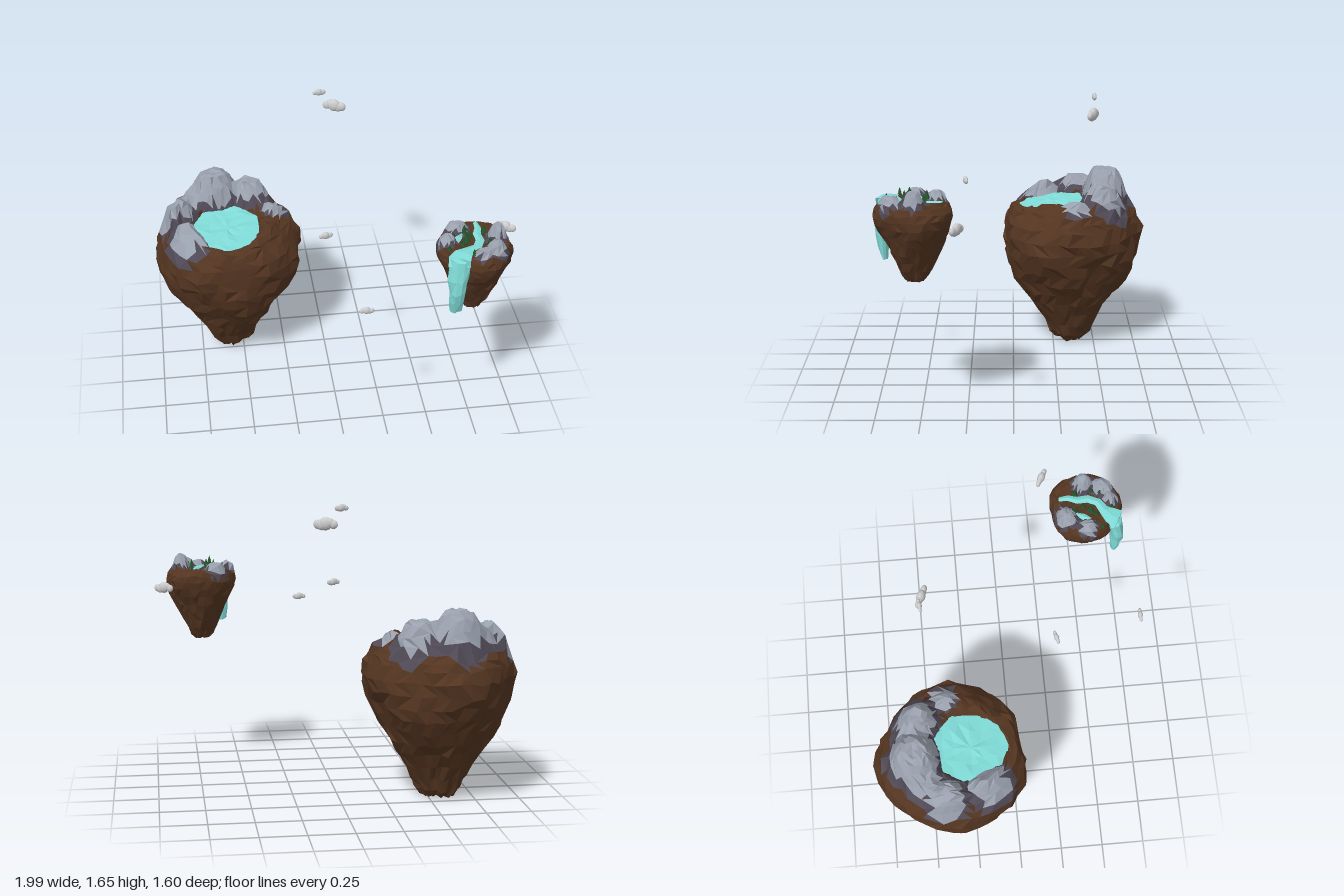
import * as THREE from 'three';

const mat = (color, side = THREE.FrontSide) => new THREE.MeshStandardMaterial({ color, side, flatShading: true });
const MATS = {
  Earth: mat(0x543521), Scree: mat(0x504a56), Rock: mat(0x9aa1ae),
  Water: mat(0x80dcd8, THREE.DoubleSide), Pine: mat(0x24502a), Trunk: mat(0x4a2f1c), Cloud: mat(0xcccccc),
};

// Repeatable noise in -1..1
const hash = (a, b, c = 0) => {
  const s = Math.sin(a * 127.1 + b * 311.7 + c * 74.7) * 43758.5453;
  return (s - Math.floor(s)) * 2 - 1;
};
const smooth = (x, a, b) => THREE.MathUtils.smoothstep(x, a, b);

// Skin rows of points with triangles; pick() sorts each triangle into a material
function skin(name, rows, closed, pick) {
  const buckets = {};
  const add = (p, q, r) => {
    const mid = new THREE.Vector3().add(p).add(q).add(r).divideScalar(3);
    const list = (buckets[pick(mid)] ??= []);
    for (const v of [p, q, r]) list.push(v.x, v.y, v.z);
  };
  for (let i = 0; i + 1 < rows.length; i++) {
    const n = rows[i].length;
    for (let j = 0; j < (closed ? n : n - 1); j++) {
      const k = (j + 1) % n;
      const a = rows[i][j], b = rows[i][k], c = rows[i + 1][k], d = rows[i + 1][j];
      if (hash(i, j, 9) > 0) { add(b, a, d); add(b, d, c); }
      else { add(a, d, c); add(a, c, b); }
    }
  }
  const group = new THREE.Group();
  group.name = name;
  for (const [key, list] of Object.entries(buckets)) {
    const g = new THREE.BufferGeometry();
    g.setAttribute('position', new THREE.Float32BufferAttribute(list, 3));
    g.computeVertexNormals();
    const mesh = new THREE.Mesh(g, MATS[key]);
    mesh.name = name + key;
    group.add(mesh);
  }
  return group;
}

// Floating island: tapering earth body, modelled top and a ring of rock bumps
function island(name, { cx, cz, profile, top, rocks, seg, topRings, jitter, seed }) {
  const [rimR, rimY] = profile[profile.length - 1];
  const size = rimR * 1.2;
  const near = (x, z) => Math.min(...rocks.map(([rx, rz, r]) => Math.hypot(x - rx, z - rz) / r));
  const bump = (x, z) => Math.max(0, ...rocks.map(([rx, rz, r, h]) => {
    const q = Math.hypot(x - rx, z - rz) / r;
    return h * Math.min(1, Math.max(0, 1.25 * (1 - q * q)));
  }));
  const rings = profile.map(([r, y]) => [r, y, false]);
  for (let i = 1; i <= topRings; i++) rings.push([rimR * (1 - i / topRings), rimY, true]);
  const rows = rings.map(([r, y0, isTop], i) => Array.from({ length: seg }, (_, j) => {
    const k = r < 1e-6 ? 0 : jitter;
    const a = ((j + (i % 2) * 0.5 + hash(i, j, seed) * 0.25 * (k ? 1 : 0)) / seg) * Math.PI * 2;
    // broad lumps on the flanks plus fine jitter
    const lump = isTop ? 1 : 1 + 0.03 * Math.sin(3 * a + y0 * 9 / size * 0.4 + seed) + 0.025 * Math.sin(5 * a - y0 * 14 + seed);
    const rr = r * lump + k * hash(i, j, seed + 1) * 0.8;
    const x = cx + Math.cos(a) * rr, z = cz + Math.sin(a) * rr;
    const base = isTop ? top(x, z, Math.hypot(x - cx, z - cz)) : y0;
    const lift = bump(x, z) * smooth(y0, rimY - size * 0.25, rimY);
    const rough = k * hash(i, j, seed + 2) * (isTop ? 0.6 : 0.9) * (i === 0 ? 0 : 1);
    return new THREE.Vector3(x, Math.max(profile[0][1], base + lift + rough), z);
  }));
  return skin(name, rows, true, (p) => {
    const q = near(p.x, p.z);
    if (p.y < rimY - size * 0.18 || q > 1.14) return 'Earth';
    return q < 0.86 ? 'Rock' : 'Scree';
  });
}

// Strip of water along [x, y, z, halfWidth] points
function stream(name, pts) {
  const rows = pts.map(([x, y, z, w], i) => {
    const p = pts[Math.max(0, i - 1)], n = pts[Math.min(pts.length - 1, i + 1)];
    const dx = n[0] - p[0], dz = n[2] - p[2], l = Math.hypot(dx, dz) || 1;
    return [-1, 0, 1].map((s) => new THREE.Vector3(
      x - (dz / l) * w * s, y + (s ? -0.004 : 0.003), z + (dx / l) * w * s));
  });
  return skin(name, rows, false, () => 'Water');
}

// Puffy cloud: a row of flattened faceted balls
function cloud([x, y, z, width, turn]) {
  const g = new THREE.Group();
  g.name = 'cloud';
  for (const [dx, dy, r] of [[0, 0, 0.27], [-0.32, -0.03, 0.18], [0.32, -0.03, 0.19], [-0.16, 0.03, 0.2], [0.17, -0.06, 0.21]]) {
    const m = new THREE.Mesh(new THREE.IcosahedronGeometry(r * width, 2), MATS.Cloud);
    m.name = 'cloudPuff';
    m.position.set(dx * width, dy * width, 0);
    m.scale.z = 0.65;
    g.add(m);
  }
  g.position.set(x, y, z);
  g.rotation.y = turn;
  return g;
}

// Small pine: trunk and three stacked cones
function pine(x, y, z, h) {
  const g = new THREE.Group();
  g.name = 'pineTree';
  const part = (name, geo, m, py) => {
    const mesh = new THREE.Mesh(geo, m);
    mesh.name = name;
    mesh.position.y = py;
    g.add(mesh);
  };
  part('trunk', new THREE.CylinderGeometry(h * 0.06, h * 0.08, h * 0.4, 5), MATS.Trunk, h * 0.1);
  for (let i = 0; i < 3; i++)
    part('foliage', new THREE.ConeGeometry(h * (0.3 - i * 0.07), h * 0.4, 6), MATS.Pine, h * (0.36 + i * 0.22));
  g.position.set(x, y, z);
  return g;
}

export function createModel() {
  const model = new THREE.Group();
  model.name = 'floatingIslands';

  // Large island with a crater lake ringed by rocks
  const lake = [-0.57, -0.25];
  model.add(island('largeIsland', {
    cx: -0.565, cz: -0.355, seg: 38, topRings: 13, jitter: 0.014, seed: 1,
    profile: [[0, 0], [0.09, 0.01], [0.125, 0.05], [0.16, 0.12], [0.205, 0.2], [0.25, 0.28], [0.295, 0.35],
      [0.335, 0.42], [0.375, 0.5], [0.402, 0.57], [0.42, 0.64], [0.425, 0.71], [0.408, 0.78], [0.385, 0.82], [0.355, 0.86]],
    top: (x, z, r) => {
      const crest = 0.865 + 0.05 * smooth(-r, -0.36, -0.28) * (1 - 0.75 * smooth(z, -0.2, -0.06));
      const d = Math.hypot(x - lake[0], z - lake[1]);
      return THREE.MathUtils.lerp(0.84, crest, smooth(d, 0.16, 0.22));
    },
    rocks: [[-0.79, -0.16, 0.125, 0.05], [-0.86, -0.4, 0.12, 0.08], [-0.75, -0.52, 0.1, 0.06], [-0.62, -0.565, 0.16, 0.165],
      [-0.41, -0.54, 0.13, 0.11], [-0.28, -0.38, 0.075, 0.035]],
  }));
  const lakeRows = [0.215, 0.16, 0.1, 0.05, 0].map((r, i) => Array.from({ length: 16 }, (_, j) => {
    const a = (j / 16) * Math.PI * 2, rr = r * (1 + 0.05 * hash(i, j, 5));
    const z = lake[1] + Math.sin(a) * rr;
    return new THREE.Vector3(lake[0] + Math.cos(a) * rr,
      0.885 - 0.09 * (z - lake[1]) + (r ? 0.006 * hash(i, j, 6) : 0), z);
  }));
  model.add(skin('lake', lakeRows, true, () => 'Water'));

  // Small island with rocks, stream and pines
  model.add(island('smallIsland', {
    cx: 0.718, cz: 0.515, seg: 32, topRings: 11, jitter: 0.007, seed: 4,
    profile: [[0, 0.782], [0.045, 0.786], [0.065, 0.81], [0.085, 0.85], [0.108, 0.9], [0.132, 0.95], [0.155, 1.0],
      [0.18, 1.05], [0.199, 1.1], [0.206, 1.14], [0.2, 1.175], [0.183, 1.2]],
    top: (x, z, r) => 1.19 + 0.02 * smooth(r, 0.06, 0.14) * smooth(-r, -0.183, -0.15),
    rocks: [[0.635, 0.4, 0.068, 0.04], [0.56, 0.515, 0.055, 0.04], [0.835, 0.51, 0.06, 0.085],
      [0.81, 0.62, 0.062, 0.05], [0.73, 0.66, 0.045, 0.035]],
  }));
  model.add(stream('stream', [[0.75, 1.215, 0.365, 0.013], [0.752, 1.216, 0.42, 0.018], [0.735, 1.214, 0.47, 0.022],
    [0.74, 1.212, 0.53, 0.024], [0.715, 1.212, 0.585, 0.024], [0.665, 1.214, 0.615, 0.03],
    [0.625, 1.218, 0.65, 0.05], [0.597, 1.212, 0.69, 0.06], [0.594, 1.17, 0.705, 0.058]]));
  model.add(stream('pool', [[0.655, 1.208, 0.455, 0.008], [0.63, 1.213, 0.495, 0.02], [0.61, 1.21, 0.535, 0.012]]));

  // Waterfall: faceted column narrowing towards its foot
  const fall = [[0.86, 0.595, 0.683, 0, 0], [0.862, 0.595, 0.683, 0.034, 0.016], [0.93, 0.593, 0.69, 0.042, 0.028],
    [1.0, 0.592, 0.693, 0.046, 0.037], [1.07, 0.595, 0.69, 0.052, 0.04], [1.14, 0.6, 0.683, 0.058, 0.04],
    [1.2, 0.603, 0.672, 0.058, 0.04], [1.216, 0.605, 0.667, 0, 0]];
  model.add(skin('waterfall', fall.map(([y, x, z, rx, rz], i) => Array.from({ length: 10 }, (_, j) => {
    const a = (j / 10) * Math.PI * 2, k = 1 + 0.12 * hash(i, j, 8);
    return new THREE.Vector3(x + Math.cos(a) * rx * k, y + (rx ? 0.012 * hash(i, j, 7) : 0), z + Math.sin(a) * rz * k);
  })), true, () => 'Water'));

  for (const [x, z, h] of [[0.665, 0.54, 0.075], [0.64, 0.57, 0.05], [0.67, 0.45, 0.06], [0.69, 0.5, 0.05],
    [0.775, 0.46, 0.06], [0.77, 0.6, 0.05], [0.56, 0.6, 0.045], [0.68, 0.66, 0.045], [0.79, 0.555, 0.045]])
    model.add(pine(x, 1.2, z, h));

  // Clouds: x, y, z, width, turn
  for (const c of [[0, 1.63, -0.452, 0.075, 0.1], [0.085, 1.545, -0.443, 0.135, -0.4], [-0.055, 1.138, 0.275, 0.08, 0.25],
    [0.095, 0.987, 0.775, 0.08, 0], [0.943, 1.12, 0.287, 0.12, -0.5]])
    model.add(cloud(c));

  return model;
}
